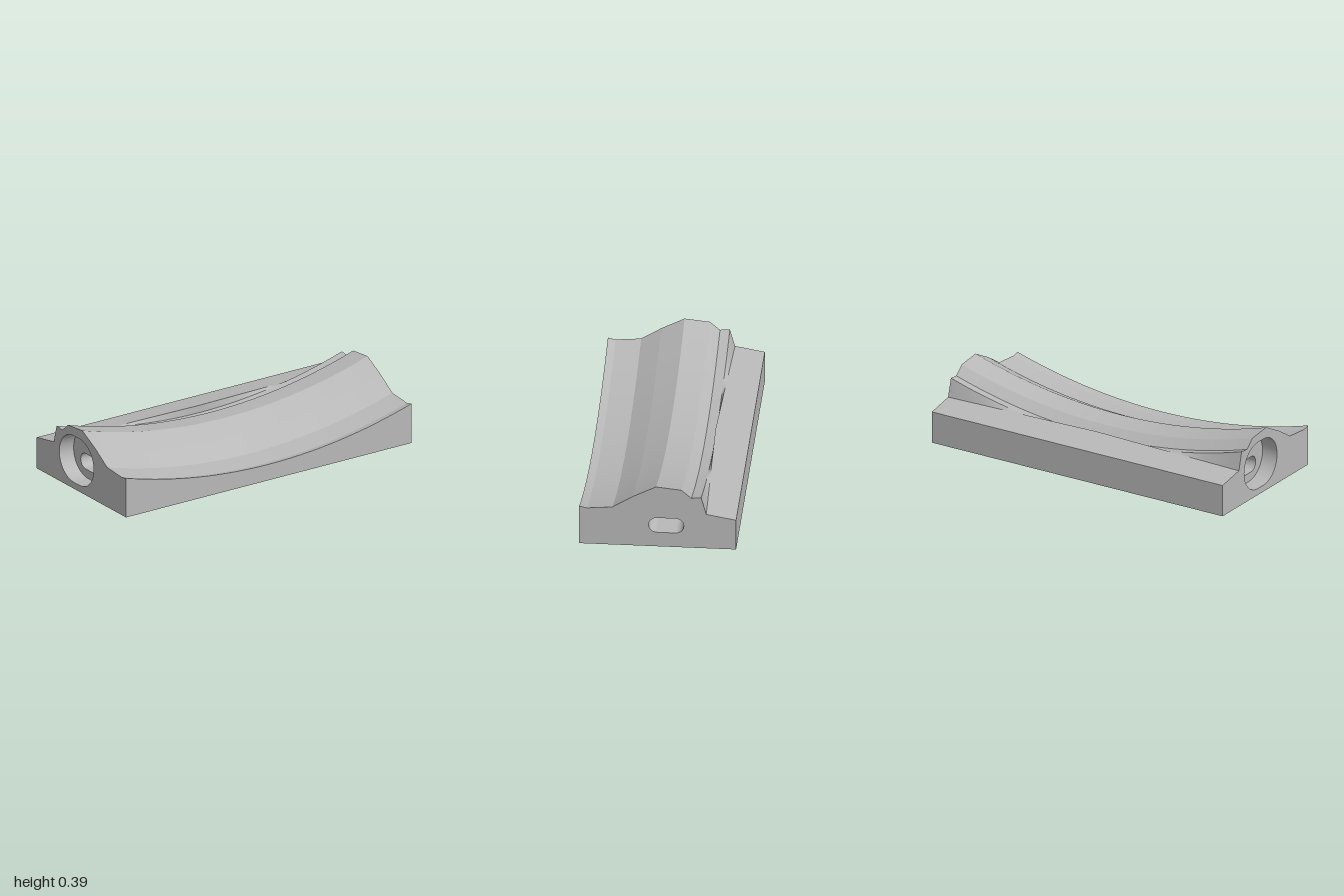
import * as THREE from 'three';

const gray = new THREE.MeshStandardMaterial({ color: 0xb8b8b8 });
gray.name = 'light gray';

const AXIS_Y = 3.605;   // height of the axis the saddle curve is swept around
const BASE = 0.02;      // thickness of the bottom plate
const BORE_X = -0.9;    // depth at which the wide bore steps down

// Curved top profile at the ends, front to back, as [z, y]
const ridge = [
  [0.455, 0.245], [0.41, 0.235], [0.262, 0.248], [0.145, 0.322], [0.01, 0.392],
  [-0.137, 0.377], [-0.195, 0.327], [-0.252, 0.333],
];

// Full cross-section of the block at a given x
function section(x) {
  const top = ridge.map(([z, y]) => {
    const r2 = (AXIS_Y - y) ** 2 + 1;
    return [z, AXIS_Y - Math.sqrt(r2 - x * x)];
  });
  const shelfZ = -0.252 - 0.03 * Math.abs(x);
  const shelfY = 0.193 + 0.177 * (shelfZ + 0.455);
  return [[0.455, BASE], ...top, [shelfZ, shelfY], [-0.455, 0.193], [-0.455, BASE]];
}

// Rounded slot outline as [z, y]
function slot(cz, cy, half, r, n = 16) {
  const pts = [];
  for (const side of [1, -1]) {
    for (let i = 0; i <= n; i++) {
      const t = -Math.PI / 2 + (Math.PI * i) / n + (side < 0 ? Math.PI : 0);
      pts.push([cz + side * half + r * Math.cos(t), cy + r * Math.sin(t)]);
    }
  }
  return pts;
}

// Skin closed outlines placed along x; sharp keeps a crease at each outline point
function loft(xs, outlineAt, sharp) {
  const rings = xs.map(outlineAt);
  const n = rings[0].length;
  const pos = [], idx = [];
  const quad = (a, b, c, d) => idx.push(a, c, b, c, d, b);
  if (sharp) {
    for (let j = 0; j < n; j++) {
      xs.forEach((x, i) => {
        const a = rings[i][j], b = rings[i][(j + 1) % n];
        const k = pos.length / 3;
        pos.push(x, a[1], a[0], x, b[1], b[0]);
        if (i < xs.length - 1) quad(k, k + 1, k + 2, k + 3);
      });
    }
  } else {
    xs.forEach((x, i) => rings[i].forEach(([z, y], j) => {
      pos.push(x, y, z);
      const k = i * n, m = (j + 1) % n;
      if (i < xs.length - 1) quad(k + j, k + m, k + n + j, k + n + m);
    }));
  }
  const g = new THREE.BufferGeometry();
  g.setAttribute('position', new THREE.Float32BufferAttribute(pos, 3));
  g.setIndex(idx);
  g.computeVertexNormals();
  return g;
}

// Flat face across x with a slot cut in it; dir is the way it faces
function endFace(x, dir, outline, hole) {
  const flat = (pts) => pts.map(([z, y]) => new THREE.Vector2(-dir * z, y));
  const shape = new THREE.Shape(flat(outline));
  shape.holes.push(new THREE.Path(flat(hole)));
  return new THREE.ShapeGeometry(shape).rotateY((dir * Math.PI) / 2).translate(x, 0, 0);
}

export function createModel() {
  const model = new THREE.Group();
  model.name = 'curvedBlock';
  const add = (name, geometry) => {
    const mesh = new THREE.Mesh(geometry, gray);
    mesh.name = name;
    model.add(mesh);
  };

  // Saddle-curved body
  const xs = Array.from({ length: 65 }, (_, i) => -1 + i / 32);
  add('body', loft(xs, section, true));

  // Narrow slot running through, with a wide bore at one end
  const small = slot(-0.05, 0.14, 0.0545, 0.0475);
  const large = slot(-0.05, 0.185, 0.03, 0.145);
  add('slotTunnel', loft([BORE_X, 1], () => [...small].reverse(), false));
  add('wideBore', loft([-1, BORE_X], () => [...large].reverse(), false));
  add('boreFloor', endFace(BORE_X, -1, large, small));
  add('leftEnd', endFace(1, 1, section(1), small));
  add('rightEnd', endFace(-1, -1, section(-1), large));

  // Bottom plate with an open ring groove
  const plate = new THREE.Shape([[-1, -0.455], [1, -0.455], [1, 0.455], [-1, 0.455]]
    .map(([x, z]) => new THREE.Vector2(x, z)));
  const groove = new THREE.Path();
  groove.absarc(0, 0.06, 0.13, 0.45, 2 * Math.PI - 0.45, false);
  groove.absarc(0, 0.06, 0.108, 2 * Math.PI - 0.45, 0.45, true);
  plate.holes.push(groove);
  add('bottomPlate', new THREE.ExtrudeGeometry(plate,
    { depth: BASE, bevelEnabled: false, curveSegments: 32 })
    .rotateX(Math.PI / 2).translate(0, BASE, 0));

  return model;
}
